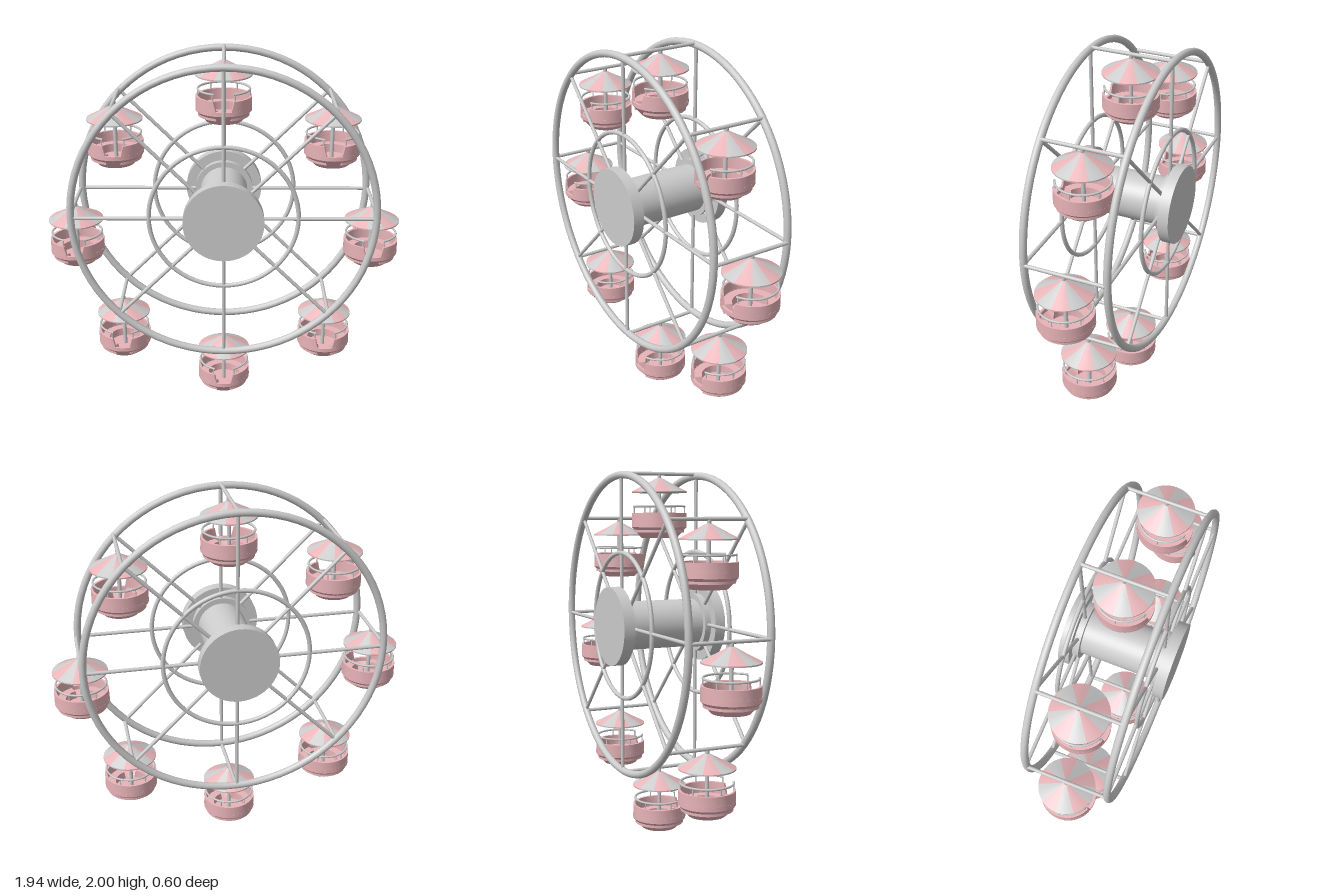
import * as THREE from 'three';
import { toCreasedNormals } from 'three/addons/utils/BufferGeometryUtils.js';

const grey = new THREE.MeshStandardMaterial({ color: 0xcccccc });
const pink = new THREE.MeshStandardMaterial({ color: 0xe8b4b8 });
const CENTRE_Y = 1.167, RIM_R = 0.813, PIVOT_R = 0.822, RIM_Z = 0.225;
const DOOR = 0.38; // half angle of the cabin doorway

function add(parent, name, geometry, material = grey) {
  const mesh = new THREE.Mesh(geometry, material);
  mesh.name = name;
  parent.add(mesh);
  return mesh;
}

function lathe(points, segments = 32, start = 0, length = Math.PI * 2) {
  const pts = points.map(([r, y]) => new THREE.Vector2(r, y));
  return toCreasedNormals(new THREE.LatheGeometry(pts, segments, start, length), 0.5);
}

// Upright round bar from y0 to y1
function bar(radius, y0, y1, sides = 10) {
  return new THREE.CylinderGeometry(radius, radius, y1 - y0, sides).translate(0, (y0 + y1) / 2, 0);
}

// Ring wall with a doorway facing +z
function openRing(inner, outer, y0, y1) {
  const a = -Math.PI / 2 + DOOR, b = 1.5 * Math.PI - DOOR;
  const shape = new THREE.Shape();
  shape.absarc(0, 0, outer, a, b, false);
  shape.absarc(0, 0, inner, b, a, true);
  const g = new THREE.ExtrudeGeometry(shape, { depth: y1 - y0, bevelEnabled: false, curveSegments: 28 });
  g.rotateX(-Math.PI / 2).translate(0, y0, 0);
  // Doorway narrows towards its sill
  const p = g.attributes.position;
  for (let i = 0; i < p.count; i++) {
    const x = p.getX(i), z = p.getZ(i), r = Math.hypot(x, z);
    const k = p.getY(i) < y0 + 0.001 ? 1.035 : 1;
    const angle = Math.atan2(x, -z) * k;
    p.setXYZ(i, r * Math.sin(angle), p.getY(i), -r * Math.cos(angle));
  }
  return toCreasedNormals(g, 0.5);
}

function createCabin() {
  const cabin = new THREE.Group();

  // Tub, upper wall and bench
  add(cabin, 'tub', lathe([[0, 0], [0.098, 0], [0.15, 0.058], [0.15, 0.08], [0.136, 0.08],
    [0.136, 0.058], [0.095, 0.03], [0, 0.03]]), pink);
  add(cabin, 'tubWall', openRing(0.136, 0.149, 0.08, 0.135), pink);
  add(cabin, 'bench', openRing(0.09, 0.137, 0.03, 0.075), pink);

  // Handrail on posts
  const rail = new THREE.TorusGeometry(0.138, 0.006, 6, 32, 2 * (Math.PI - DOOR));
  rail.rotateZ(-Math.PI / 2 + DOOR).rotateX(-Math.PI / 2).translate(0, 0.17, 0);
  add(cabin, 'handrail', rail);
  for (let i = 0; i < 6; i++) {
    const a = DOOR + 0.06 + (i / 5) * 2 * (Math.PI - DOOR - 0.06);
    add(cabin, 'railPost', bar(0.004, 0.13, 0.17, 6))
      .position.set(0.138 * Math.sin(a), 0, 0.138 * Math.cos(a));
  }

  // Hanging pole
  add(cabin, 'pole', bar(0.011, 0.03, 0.342));

  // Striped canopy
  const canopy = new THREE.Group();
  canopy.name = 'canopy';
  canopy.position.y = 0.243;
  const step = Math.PI / 5;
  for (let i = 0; i < 10; i++) {
    add(canopy, 'canopyPanel',
      lathe([[0.15, 0], [0.15, 0.007], [0.07, 0.048], [0.012, 0.08], [0, 0.08]], 4, (i - 0.5) * step, step),
      i % 2 ? pink : grey);
  }
  add(canopy, 'canopyUnderside', lathe([[0, 0], [0.15, 0]], 40));
  cabin.add(canopy);
  return cabin;
}

export function createModel() {
  const model = new THREE.Group();
  const wheel = new THREE.Group();
  wheel.name = 'wheel';
  wheel.position.y = CENTRE_Y;
  model.add(wheel);

  // Axle with end discs
  add(wheel, 'axle', new THREE.CylinderGeometry(0.133, 0.133, 0.44, 40).rotateX(Math.PI / 2));
  for (const s of [1, -1]) {
    const disc = (name, r, z0, z1) =>
      add(wheel, name, new THREE.CylinderGeometry(r, r, z1 - z0, 48).rotateX(Math.PI / 2))
        .position.z = s * (z0 + z1) / 2;
    disc('hubDisc', 0.215, 0.24, 0.3);
    disc('hubCollar', 0.163, 0.205, 0.24);

    // Rims and spokes of each side
    add(wheel, 'outerRim', new THREE.TorusGeometry(RIM_R, 0.02, 12, 80)).position.z = s * RIM_Z;
    add(wheel, 'innerRim', new THREE.TorusGeometry(0.398, 0.012, 10, 64)).position.z = s * RIM_Z;
    for (let i = 0; i < 8; i++) {
      const spoke = add(wheel, 'spoke', bar(0.01, 0.1, RIM_R));
      spoke.rotation.z = i * Math.PI / 4;
      spoke.position.z = s * RIM_Z;
    }
  }

  // Cross bars, each carrying an upright cabin
  for (let i = 0; i < 8; i++) {
    const a = i * Math.PI / 4;
    const x = PIVOT_R * Math.sin(a), y = PIVOT_R * Math.cos(a);
    add(wheel, 'crossBar', bar(0.01, -RIM_Z, RIM_Z).rotateX(Math.PI / 2)).position.set(x, y, 0);
    const cabin = createCabin();
    cabin.name = 'cabin' + (i + 1);
    cabin.position.set(x, CENTRE_Y + y - 0.345, 0);
    model.add(cabin);
  }
  return model;
}
